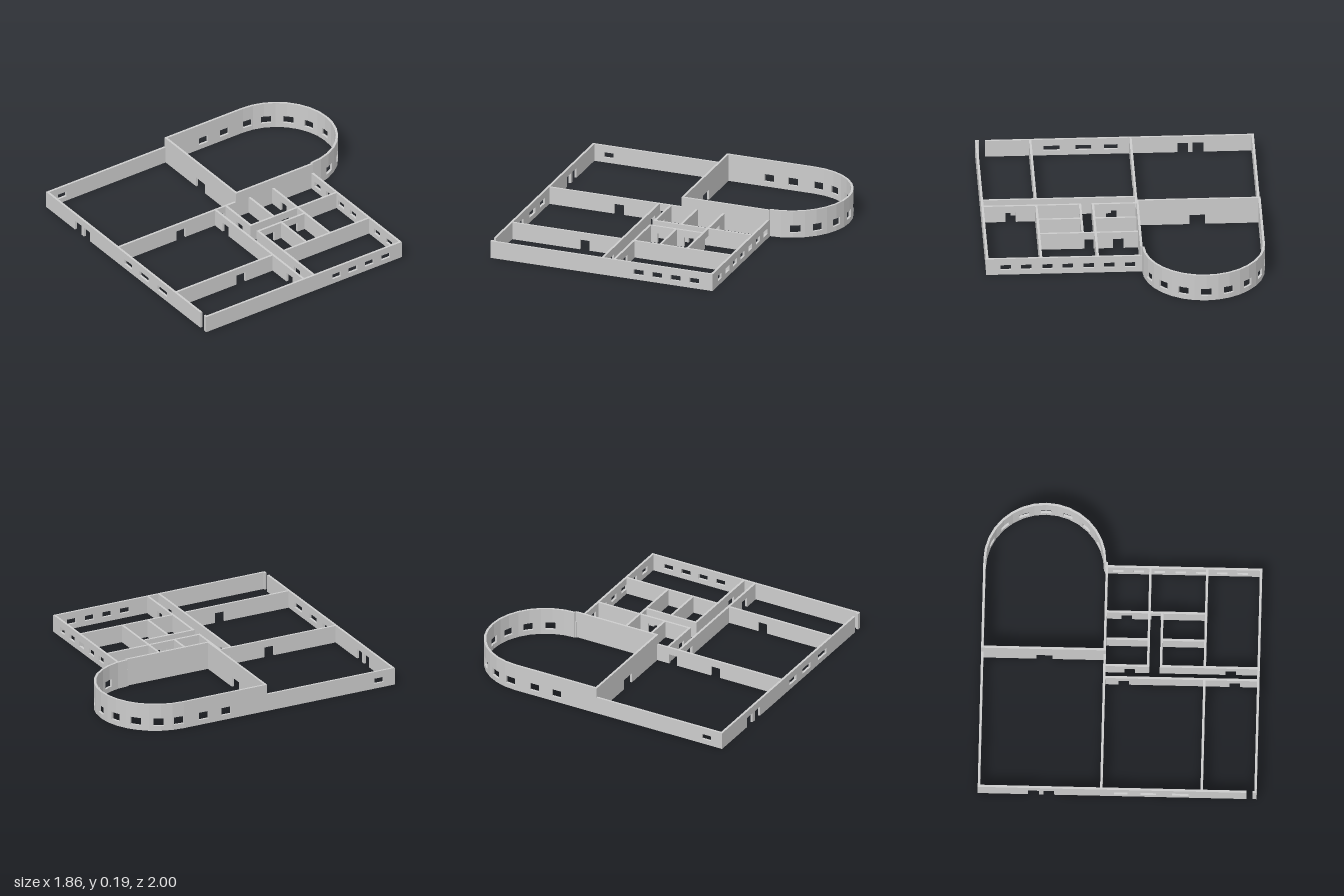
import * as THREE from 'three';

const T = 0.016;            // wall thickness
const LOW = 0.12, TALL = 0.19;
const DOOR_H = 0.07, SILL = 0.035, HEAD = 0.072, HALL_HEAD = 0.088;

const material = new THREE.MeshStandardMaterial({ color: 0xcccccc, flatShading: true });

function addMesh(parent, name, geometry) {
  const mesh = new THREE.Mesh(geometry, material);
  mesh.name = name;
  parent.add(mesh);
}

// Upright wall from a to b along an axis, centred at c on the other axis.
// Doors and windows are [start, end] spans; doors notch the base, windows are holes.
function wall(parent, name, axis, a, b, c, { h = LOW, doors = [], windows = [], head = HEAD } = {}) {
  const shape = new THREE.Shape();
  shape.moveTo(a, 0);
  for (const [d0, d1] of doors) {
    shape.lineTo(d0, 0);
    shape.lineTo(d0, DOOR_H);
    shape.lineTo(d1, DOOR_H);
    shape.lineTo(d1, 0);
  }
  shape.lineTo(b, 0);
  shape.lineTo(b, h);
  shape.lineTo(a, h);
  shape.closePath();
  for (const [w0, w1] of windows) {
    const hole = new THREE.Path();
    hole.moveTo(w0, SILL);
    hole.lineTo(w0, head);
    hole.lineTo(w1, head);
    hole.lineTo(w1, SILL);
    hole.closePath();
    shape.holes.push(hole);
  }
  const geometry = new THREE.ExtrudeGeometry(shape, { depth: T, bevelEnabled: false });
  if (axis === 'x') geometry.translate(0, 0, c - T / 2);
  else geometry.rotateY(-Math.PI / 2).translate(c + T / 2, 0, 0);
  addMesh(parent, name, geometry);
}

// Spans of equal width around the given centres
const spans = (centres, width = 0.07) => centres.map(m => [m - width / 2, m + width / 2]);

// Faceted ring sector between two angles (degrees) and two heights
function sector(a0, a1, y0, y1) {
  const STEP = 11.25, rad = Math.PI / 180, R = 0.41;
  const angles = [a0];
  for (let a = 0; a <= 180; a += STEP) if (a > a0 + 0.01 && a < a1 - 0.01) angles.push(a);
  angles.push(a1);
  const at = (a, r) => {
    // keep points on the straight facets
    const k = r * Math.cos(STEP / 2 * rad) / Math.cos(((a % STEP) - STEP / 2) * rad);
    return new THREE.Vector2(k * Math.cos(a * rad), k * Math.sin(a * rad));
  };
  const outline = [...angles.map(a => at(a, R)), ...angles.reverse().map(a => at(a, R - T))];
  return new THREE.ExtrudeGeometry(new THREE.Shape(outline), { depth: y1 - y0, bevelEnabled: false })
    .rotateX(-Math.PI / 2).translate(-0.52, y0, -0.59);
}

export function createModel() {
  const model = new THREE.Group();
  model.name = 'floorPlan';

  // Outer walls
  const outer = new THREE.Group();
  outer.name = 'outerWalls';
  model.add(outer);
  wall(outer, 'frontWall', 'x', -0.93, 0.863, 0.992, {
    doors: [[-0.595, -0.52], [-0.49, -0.42]],
    windows: [[-0.02, 0.07], [0.155, 0.26], [0.365, 0.475]],
  });
  wall(outer, 'entranceStub', 'x', 0.903, 0.93, 0.992);
  wall(outer, 'rightWall', 'z', -0.59, 1, 0.922, { windows: spans([-0.462, -0.328, -0.195, -0.062]) });
  wall(outer, 'backWall', 'x', -0.12, 0.93, -0.585, {
    windows: spans([-0.03, 0.108, 0.246, 0.385, 0.523, 0.662, 0.8]),
  });
  wall(outer, 'leftWall', 'z', 0.03, 1, -0.922, { windows: spans([0.88]) });

  // Tall hall with a rounded end
  const hall = new THREE.Group();
  hall.name = 'hall';
  model.add(hall);
  const hallOptions = { h: TALL, head: HALL_HEAD };
  wall(hall, 'hallLeftWall', 'z', -0.59, 0.038, -0.922, { ...hallOptions, windows: spans([-0.44, -0.27]) });
  wall(hall, 'hallFrontWall', 'x', -0.93, -0.1, 0.03, { ...hallOptions, doors: [[-0.56, -0.455]] });
  wall(hall, 'hallRightWall', 'z', -0.59, 0.038, -0.106, hallOptions);
  addMesh(hall, 'curvedSill', sector(0, 180, 0, SILL));
  addMesh(hall, 'curvedLintel', sector(0, 180, HALL_HEAD, TALL));
  let start = 0;
  for (const middle of [24.6, 46.4, 68.2, 90, 111.8, 133.6, 155.4, 175]) {
    addMesh(hall, 'curvedPier', sector(start, middle - 5, SILL, HALL_HEAD));
    start = middle + 5;
  }

  // Partitions: name, axis, from, to, position, doors
  const inner = new THREE.Group();
  inner.name = 'partitions';
  model.add(inner);
  const partitions = [
    ['frontLeftPartition', 'z', 0.03, 0.99, -0.106, [[0.13, 0.19], [0.45, 0.52]]],
    ['frontRightPartition', 'z', 0.2, 0.99, 0.563, [[0.43, 0.5]]],
    ['corridorFrontWall', 'x', -0.1, 0.92, 0.2, [[-0.01, 0.06], [0.73, 0.8]]],
    ['corridorBackLeftWall', 'x', -0.1, 0.193, 0.115, [[0.028, 0.098]]],
    ['corridorBackRightWall', 'x', 0.263, 0.92, 0.115, [[0.7, 0.77]]],
    ['passageLeftWall', 'z', -0.58, 0.123, 0.185, [[-0.2, -0.13]]],
    ['passageRightWall', 'z', -0.265, 0.123, 0.271, [[-0.2, -0.13], [-0.01, 0.06]]],
    ['backRightPartition', 'z', -0.58, 0.12, 0.563, []],
    ['backRoomsWall', 'x', -0.1, 0.571, -0.265, [[0.0, 0.07], [0.198, 0.258]]],
    ['smallRoomLeftWall', 'x', -0.1, 0.185, -0.073, []],
    ['smallRoomRightWall', 'x', 0.271, 0.563, -0.073, []],
  ];
  for (const [name, axis, a, b, c, doors] of partitions) wall(inner, name, axis, a, b, c, { doors });

  return model;
}
